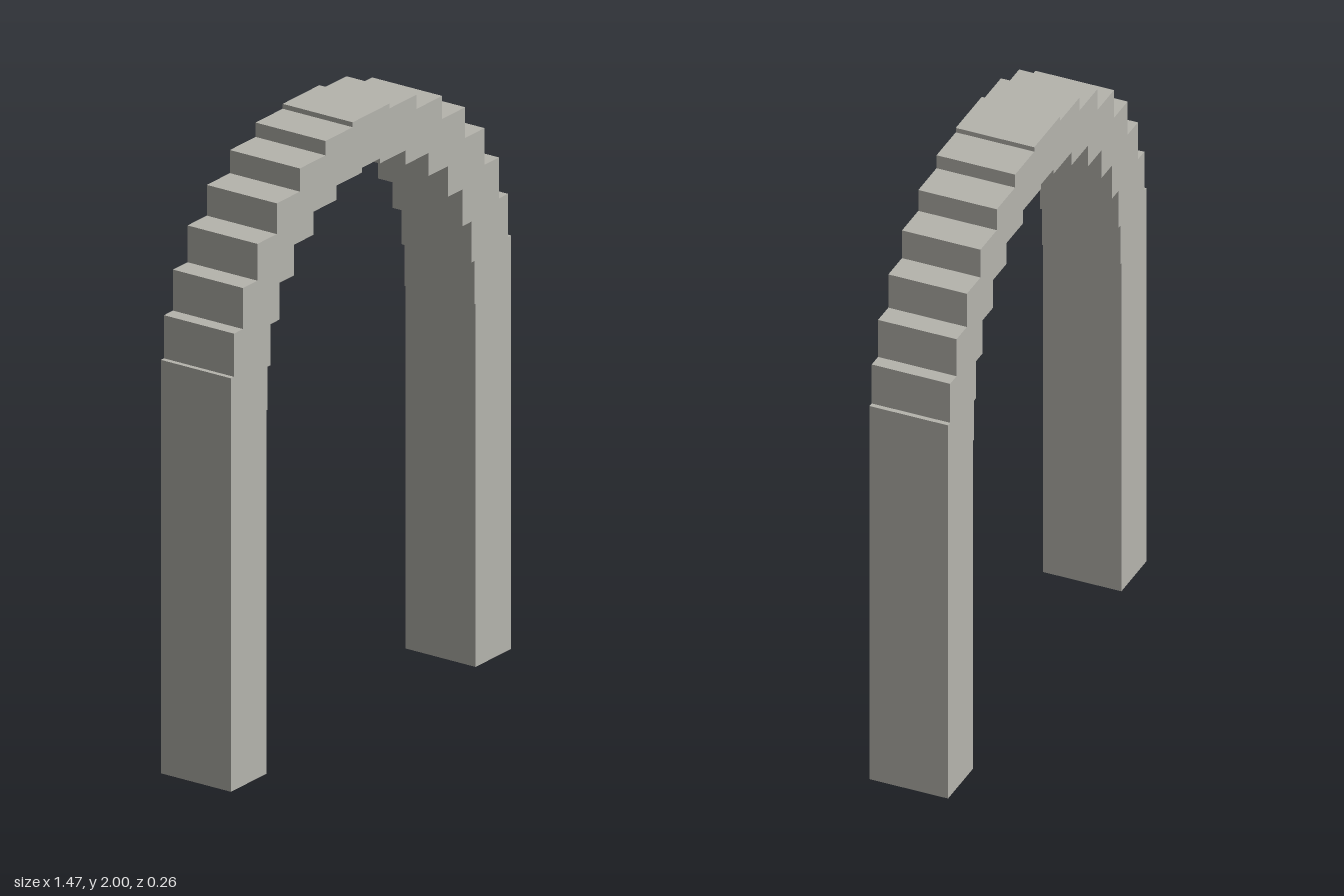
import * as THREE from 'three';

export function createModel() {
  const group = new THREE.Group();
  const stone = new THREE.MeshStandardMaterial({ color: 0xb5b4ad });
  stone.name = 'stone grey';

  const depth = 0.264, radius = 0.638, springY = 1.278;
  const halfW = 0.096, halfH = 0.0825, steps = 7;
  const pillarInner = 0.548, pillarOuter = radius + halfW;

  // Centres of equal blocks along a quarter circle, from pillar to crown
  const centres = [];
  for (let i = 0; i <= steps; i++) {
    const a = (i / steps) * Math.PI / 2;
    centres.push([radius * Math.cos(a), springY + radius * Math.sin(a)]);
  }

  // Stepped outer edge, pillar foot to crown
  const outer = [[pillarOuter, 0]];
  centres.forEach(([x, y], i) => {
    if (i > 0) outer.push([x + halfW, centres[i - 1][1] + halfH]);
    outer.push([x + halfW, y + halfH]);
  });

  // Stepped inner edge, pillar foot to crown
  const inner = [[pillarInner, 0]];
  centres.forEach(([x, y], i) => {
    const previousX = i > 0 ? centres[i - 1][0] - halfW : pillarInner;
    inner.push([previousX, y - halfH]);
    if (i < steps) inner.push([x - halfW, y - halfH]);
  });

  // Mirror both edges into one closed outline
  const mirror = (points) => points.map(([x, y]) => [-x, y]).reverse();
  const outline = [...outer, ...mirror(outer), ...mirror(inner).reverse(), ...inner.slice().reverse()];
  const shape = new THREE.Shape(outline.map(([x, y]) => new THREE.Vector2(x, y)));

  const geometry = new THREE.ExtrudeGeometry(shape, { depth, bevelEnabled: false });
  geometry.translate(0, 0, -depth / 2);
  const arch = new THREE.Mesh(geometry, stone);
  arch.name = 'steppedArch';
  group.add(arch);
  return group;
}
